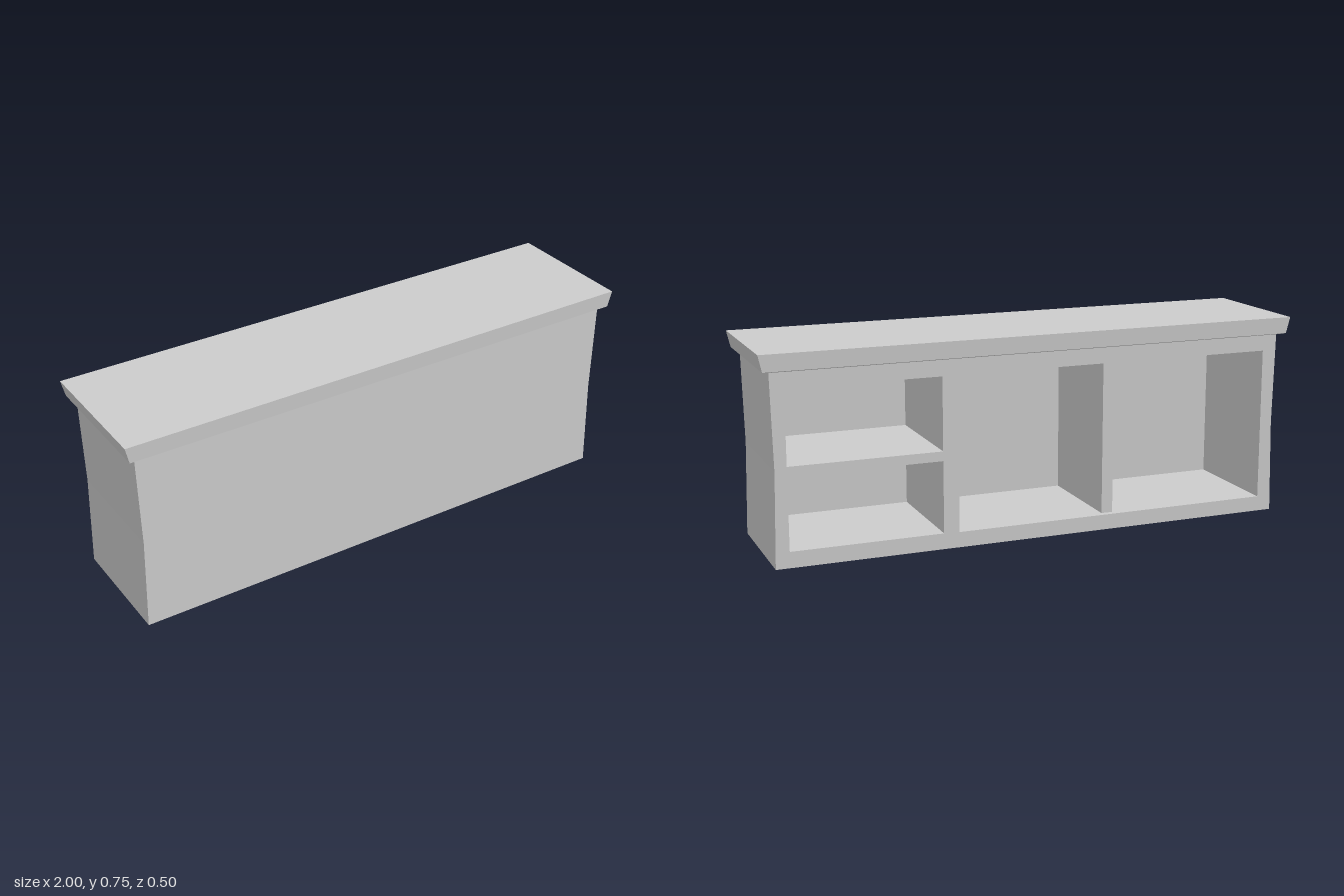
import * as THREE from 'three';

const grey = new THREE.MeshStandardMaterial({ color: 0xcccccc });
grey.name = 'plain grey';

const BACK = -0.222, INNER = 0.2, FRONT = 0.222;

function add(parent, name, geometry) {
  const mesh = new THREE.Mesh(geometry, grey);
  mesh.name = name;
  parent.add(mesh);
  return mesh;
}

// Box between two heights whose half width and half depth change from bottom to top
function taperedSlab(y0, [x0, z0], y1, [x1, z1]) {
  const g = new THREE.BoxGeometry(2, 1, 2);
  const p = g.attributes.position;
  for (let i = 0; i < p.count; i++) {
    const top = p.getY(i) > 0;
    p.setXYZ(i, p.getX(i) * (top ? x1 : x0), top ? y1 : y0, p.getZ(i) * (top ? z1 : z0));
  }
  g.computeVertexNormals();
  return g;
}

// Cabinet outline with slightly waisted ends
function outline() {
  return new THREE.Shape([
    [-0.96, 0], [0.96, 0], [0.952, 0.34], [0.96, 0.68], [-0.96, 0.68], [-0.952, 0.34],
  ].map(([x, y]) => new THREE.Vector2(x, y)));
}

function hole(x0, x1, y0, y1) {
  return new THREE.Path([
    [x0, y0], [x0, y1], [x1, y1], [x1, y0],
  ].map(([x, y]) => new THREE.Vector2(x, y)));
}

function extrude(shape, z0, z1) {
  const g = new THREE.ExtrudeGeometry(shape, { depth: z1 - z0, bevelEnabled: false });
  return g.translate(0, 0, z0);
}

export function createModel() {
  const group = new THREE.Group();
  group.name = 'counter';

  // Carcass, open at the back: two stacked cubbies and one wide bay
  const frame = outline();
  frame.holes.push(
    hole(0.358, 0.91, 0.355, 0.62),
    hole(0.358, 0.91, 0.058, 0.32),
    hole(-0.905, 0.3, 0.056, 0.62),
  );
  add(group, 'carcass', extrude(frame, BACK, INNER));

  // Closed customer side
  add(group, 'frontPanel', extrude(outline(), INNER, FRONT));

  // Upright in the wide bay, set back a little from the rim
  const z0 = BACK + 0.022;
  const divider = add(group, 'divider', new THREE.BoxGeometry(0.043, 0.564, INNER - z0));
  divider.position.set(-0.2825, 0.338, (INNER + z0) / 2);

  // Worktop with splayed edge and a shallow bevel below it
  const lip = [0.986, 0.247];
  add(group, 'underBevel', taperedSlab(0.678, [0.96, 0.222], 0.685, lip));
  add(group, 'worktop', taperedSlab(0.685, lip, 0.745, [1, 0.25]));

  return group;
}
